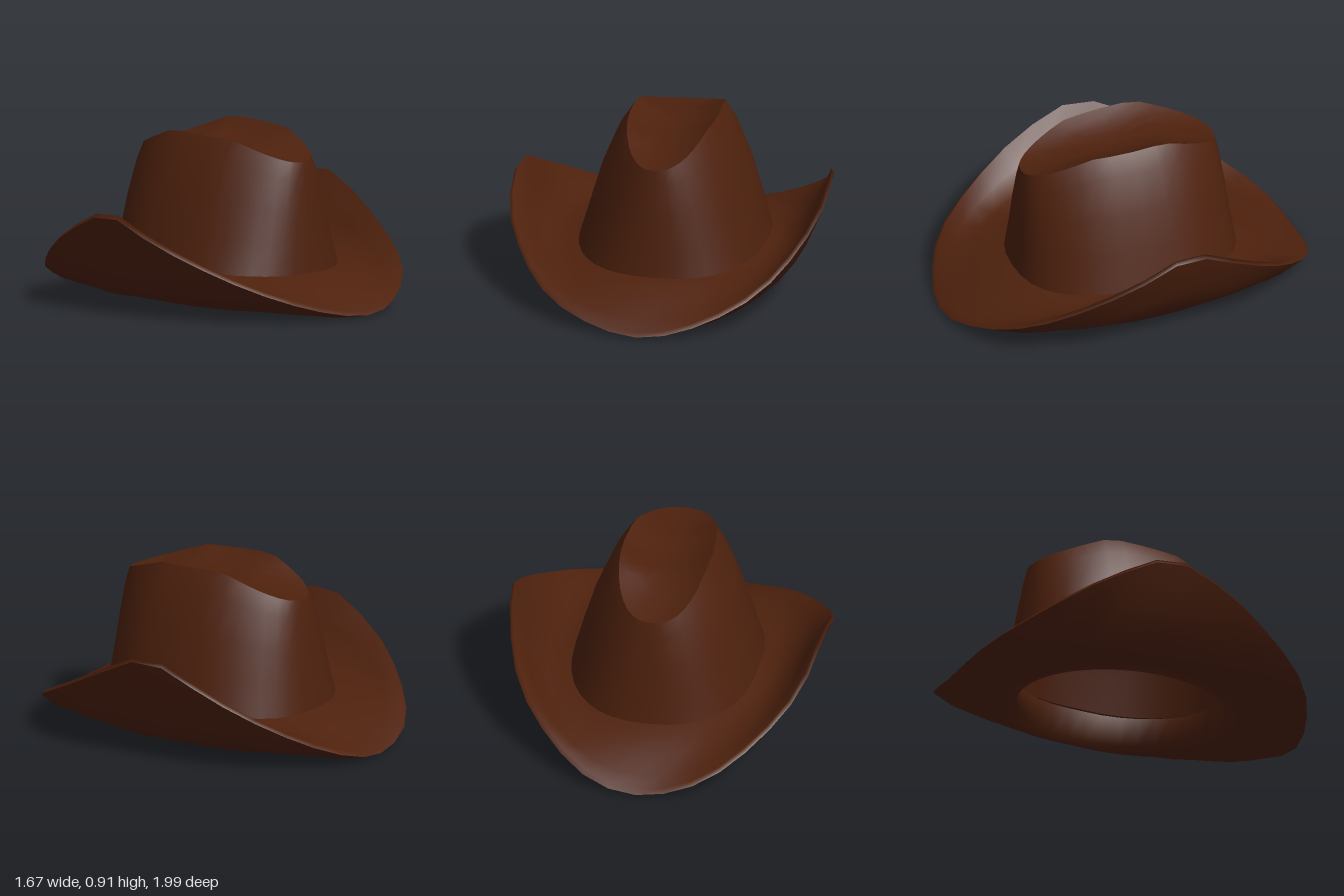
import * as THREE from 'three';

const SEG = 36;

// Closed rings of points joined into a smooth skin
function loft(name, rings, material) {
  const pos = [], index = [];
  for (const ring of rings) {
    for (let i = 0; i < SEG; i++) pos.push(...ring((i / SEG) * Math.PI * 2));
  }
  for (let r = 0; r < rings.length - 1; r++) {
    for (let i = 0; i < SEG; i++) {
      const a = r * SEG + i, b = r * SEG + ((i + 1) % SEG);
      index.push(a, b, b + SEG, a, b + SEG, a + SEG);
    }
  }
  const geo = new THREE.BufferGeometry();
  geo.setAttribute('position', new THREE.Float32BufferAttribute(pos, 3));
  geo.setIndex(index);
  geo.computeVertexNormals();
  const mesh = new THREE.Mesh(geo, material);
  mesh.name = name;
  return mesh;
}

// How far the brim is rolled up: 0 at front and back, 1 a little behind the middle of each side
function roll(a) {
  const z = Math.cos(a) + 0.08 * Math.sin(a) ** 2;
  return Math.pow(Math.max(0, 1 - Math.hypot(z, 0.04)), 0.85);
}

// Ridge line of the crown, sloping down to front and back, the left side slightly higher
function ridge(x, z) {
  const { lerp, mapLinear } = THREE.MathUtils;
  let y = mapLinear(z, -0.16, 0.24, 0.905, 0.885);
  if (z > 0.24) y = lerp(0.885, 0.77, (z - 0.24) / 0.31);
  if (z < -0.16) y = lerp(0.905, 0.77, (-0.16 - z) / 0.35);
  return y + 0.04 * x;
}

const CX = 0.015; // crown sits slightly to one side

function crownRing(rx, rz, f) {
  return (a) => {
    const c = Math.cos(a), s = Math.sin(a);
    const pinch = 1 - 0.14 * f * Math.max(0, c); // narrower towards the front
    const z = 0.02 * f + rz * Math.sign(c) * Math.pow(Math.abs(c), 0.85);
    const x = CX + rx * pinch * Math.sign(s) * Math.pow(Math.abs(s), 0.85);
    const base = 0.19 + 0.04 * roll(a);
    return [x, base + (ridge(x, z) - base) * f, z];
  };
}

function topRing(k) {
  const rim = crownRing(0.235, 0.53, 1);
  return (a) => {
    const [x, , z] = rim(a);
    const px = CX + (x - CX) * k, pz = 0.02 + (z - 0.02) * k;
    return [px, ridge(px, pz) - 0.08 * (1 - k * k), pz];
  };
}

// Brim ring: ellipse radii plus a height depending on the roll
function brimRing(rx, rz, height, wobble = 0) {
  return (a) => {
    const w = 1 + wobble * Math.sin(a * 9 + 1);
    return [rx * w * Math.sin(a), height(roll(a), a), rz * w * Math.cos(a)];
  };
}

export function createModel() {
  const hat = new THREE.Group();
  hat.name = 'hat';
  const leather = new THREE.MeshStandardMaterial({ color: 0x4e210d, side: THREE.DoubleSide });
  leather.name = 'brown leather';

  // Crown wall, tapering up to the rim
  hat.add(loft('crownWall', [
    crownRing(0.49, 0.6, 0),
    crownRing(0.438, 0.58, 0.28),
    crownRing(0.38, 0.565, 0.57),
    crownRing(0.3, 0.545, 0.86),
    crownRing(0.235, 0.53, 1),
  ], leather));

  // Crown top with its lengthwise dent
  hat.add(loft('crownTop', [1, 0.8, 0.6, 0.4, 0.2, 0.001].map(topRing), leather));

  // Brim underside, from the head opening out to the edge
  const edge = (e, a) => 0.015 + 0.56 * e + 0.025 * e * Math.sin(a);
  hat.add(loft('brimUnderside', [
    brimRing(0.45, 0.56, (e) => 0.19 + 0.03 * e),
    brimRing(0.45, 0.56, () => 0.05),
    brimRing(0.54, 0.7, (e) => 0.015 + 0.045 * e),
    brimRing(0.64, 0.82, (e) => 0.005 + 0.165 * e),
    brimRing(0.75, 0.925, (e) => 0.001 + 0.345 * e),
    brimRing(0.835, 0.995, edge, 0.006),
  ], leather));

  // Brim upper side, from the edge in to the crown
  hat.add(loft('brimTop', [
    brimRing(0.835, 0.995, edge, 0.006),
    brimRing(0.82, 0.975, (e, a) => edge(e, a) + 0.02, 0.006),
    brimRing(0.74, 0.9, (e) => 0.075 + 0.33 * e),
    brimRing(0.64, 0.79, (e) => 0.135 + 0.125 * e),
    brimRing(0.55, 0.67, (e) => 0.18 + 0.045 * e),
    brimRing(0.47, 0.58, (e) => 0.2 + 0.04 * e),
  ], leather));

  return hat;
}
